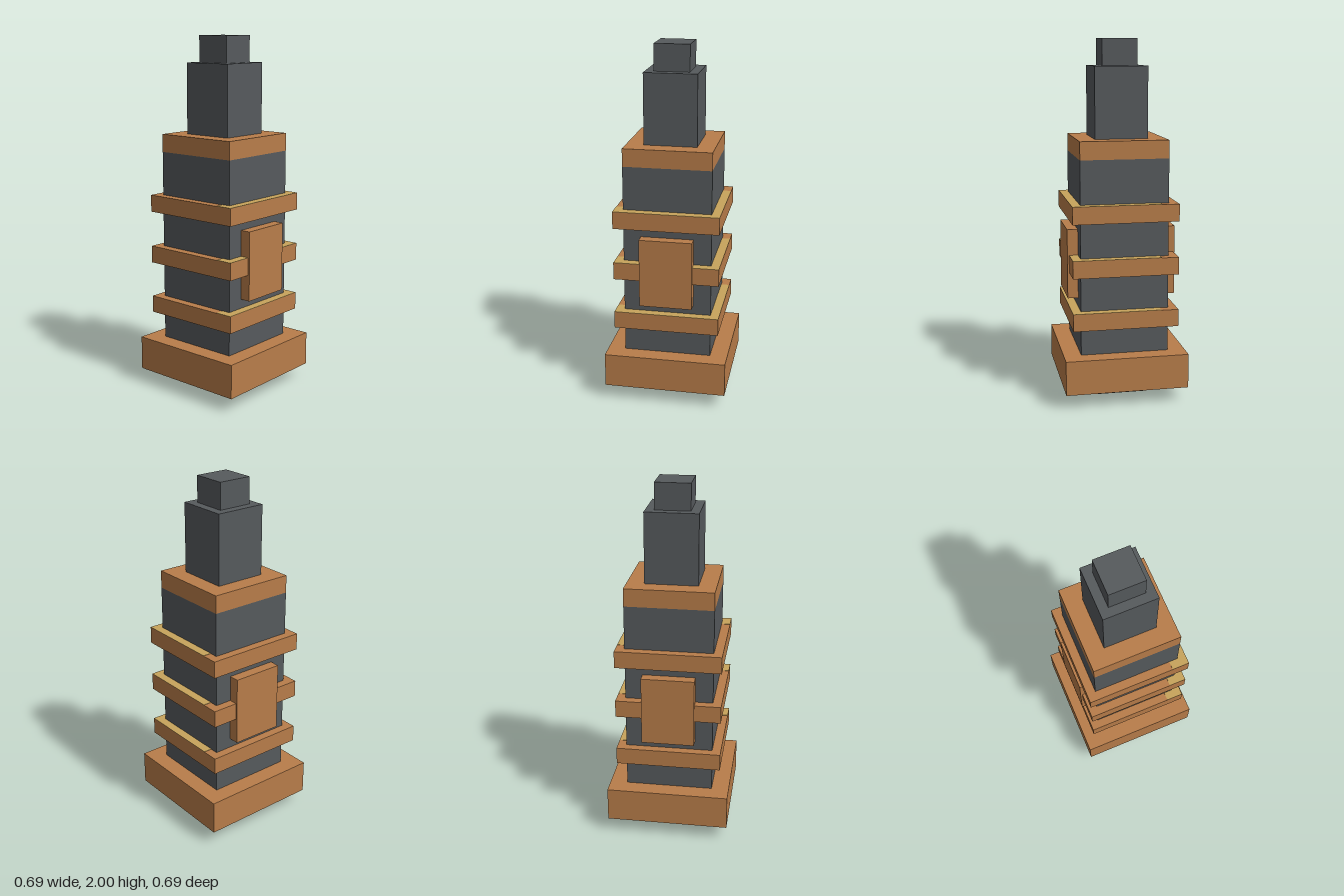
import * as THREE from 'three';

export function createModel() {
  const model = new THREE.Group();
  model.name = 'steppedTower';

  const mat = (name, color) => {
    const m = new THREE.MeshStandardMaterial({ color });
    m.name = name;
    return m;
  };
  const copper = mat('copper', 0xb87d4a);
  const slate = mat('slate', 0x565a5d);
  const gold = mat('gold', 0xc8a45c);

  // Box given by its lower and upper limits on each axis
  const box = (name, material, [x0, x1], [y0, y1], [z0, z1], parent = model) => {
    const mesh = new THREE.Mesh(new THREE.BoxGeometry(x1 - x0, y1 - y0, z1 - z0), material);
    mesh.position.set((x0 + x1) / 2, (y0 + y1) / 2, (z0 + z1) / 2);
    mesh.name = name;
    parent.add(mesh);
    return mesh;
  };
  // Square block centred on the axis
  const block = (name, material, half, y0, y1, parent) =>
    box(name, material, [-half, half], [y0, y1], [-half, half], parent);

  // Stacked core, from the ground up
  block('foot', slate, 0.147, 0, 0.082);
  block('base', copper, 0.343, 0.082, 0.275);
  block('body', slate, 0.245, 0.275, 1.36);
  block('cap', copper, 0.245, 1.36, 1.46);
  block('mast', slate, 0.147, 1.46, 1.853);
  block('mastTip', slate, 0.098, 1.853, 2);

  // Three collars, each with gold inlay on part of its upper face
  const inner = 0.245, outer = 0.294;
  [[0.427, 0.523], [0.723, 0.82], [1.02, 1.116]].forEach(([y0, y1], i) => {
    const collar = new THREE.Group();
    collar.name = `collar${i + 1}`;
    model.add(collar);
    block('collarRing', copper, outer, y0, y1, collar);
    const top = [y1, y1 + 0.002];
    box('frontInlay', gold, [-outer, outer], top, [inner, outer], collar);
    box('leftInlay', gold, [inner, outer], top, [-0.198, inner], collar);
    box('rightInlay', gold, [-outer, -inner], top, [0.196, inner], collar);
  });

  // Raised panels on the front and back
  for (const [name, z] of [['frontPanel', [0.245, 0.304]], ['backPanel', [-0.304, -0.245]]]) {
    box(name, copper, [-0.147, 0.147], [0.577, 0.967], z);
  }

  return model;
}
